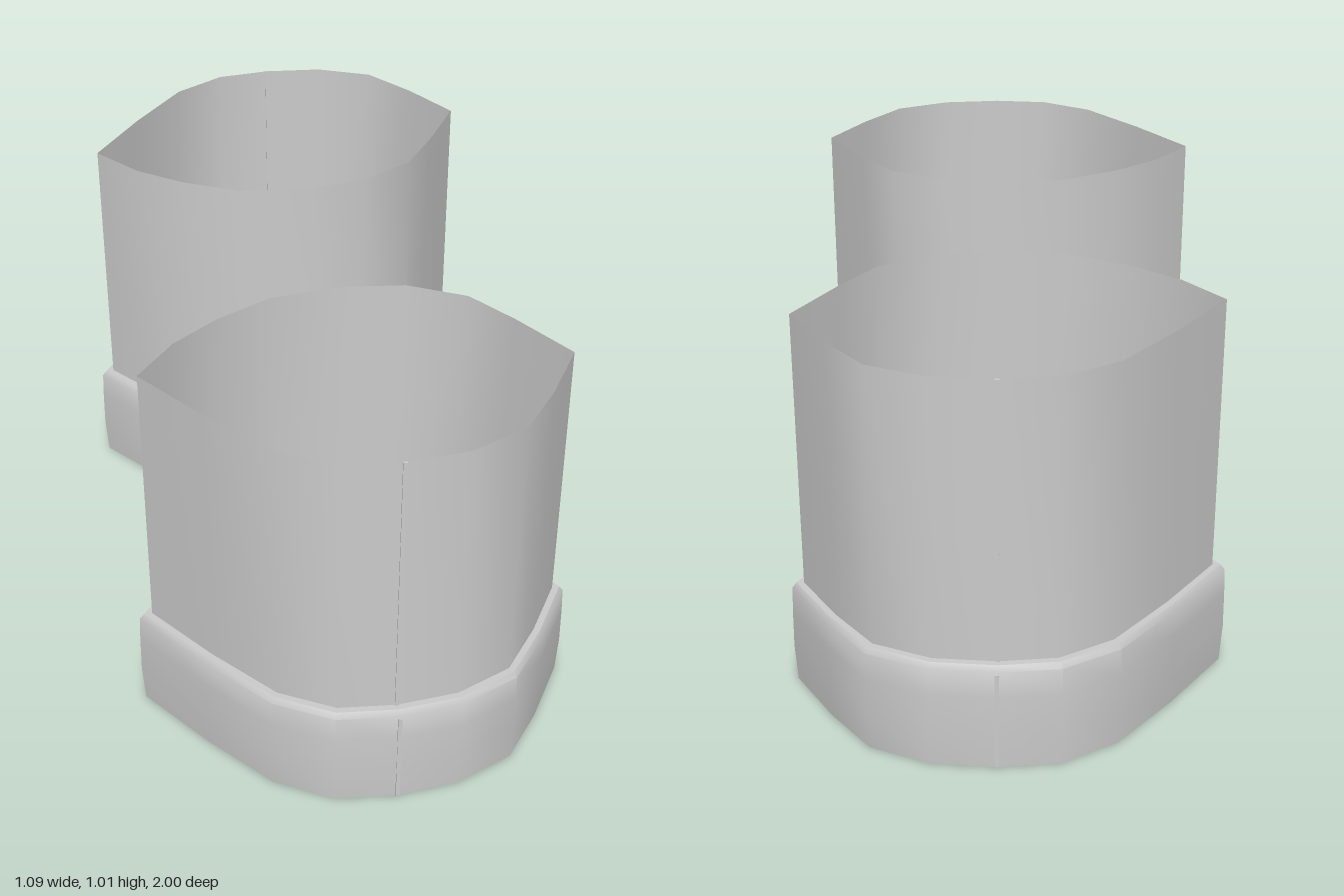
import * as THREE from 'three';
import { toCreasedNormals } from 'three/addons/utils/BufferGeometryUtils.js';

// Outer plan of one cuff as [x, z], pointed at both ends
const PLAN = [
  [-0.54, 0.545], [-0.43, 0.41], [-0.31, 0.32], [-0.16, 0.245], [0.03, 0.225],
  [0.19, 0.245], [0.34, 0.325], [0.43, 0.45], [0.538, 0.625], [0.44, 0.785],
  [0.34, 0.915], [0.19, 0.98], [0.03, 0.995], [-0.12, 0.98], [-0.26, 0.90], [-0.40, 0.735],
];

// Move every edge of a plan outwards by d, with mitred corners
function offsetPlan(plan, d) {
  const n = plan.length;
  const normal = (a, b) => new THREE.Vector2(b[1] - a[1], a[0] - b[0]).normalize();
  return plan.map((p, i) => {
    const n1 = normal(plan[(i + n - 1) % n], p);
    const n2 = normal(p, plan[(i + 1) % n]);
    const k = d / (1 + n1.dot(n2));
    return [p[0] + (n1.x + n2.x) * k, p[1] + (n1.y + n2.y) * k];
  });
}

// Skin a profile of [offset, y] steps around the plan
function loft(plan, profile) {
  const n = plan.length;
  const pos = [];
  const index = [];
  for (const [d, y] of profile) {
    for (const [x, z] of offsetPlan(plan, d)) pos.push(x, y, z);
  }
  for (let r = 0; r < profile.length - 1; r++) {
    for (let i = 0; i < n; i++) {
      const a = r * n + i, b = r * n + (i + 1) % n;
      index.push(a, a + n, b + n, a, b + n, b);
    }
  }
  const g = new THREE.BufferGeometry();
  g.setAttribute('position', new THREE.Float32BufferAttribute(pos, 3));
  g.setIndex(index);
  return toCreasedNormals(g, 0.6);
}

export function createModel() {
  const group = new THREE.Group();
  const solid = new THREE.MeshStandardMaterial({ color: 0xcccccc });
  const thin = new THREE.MeshStandardMaterial({ color: 0xcccccc, side: THREE.DoubleSide });

  for (const side of [1, -1]) {
    const plan = side > 0 ? PLAN : PLAN.map(([x, z]) => [x, -z]).reverse();
    const pair = new THREE.Group();
    pair.name = side > 0 ? 'frontSleeve' : 'backSleeve';

    // Thin open tube
    const tube = new THREE.Mesh(loft(plan, [[-0.025, 0.08], [-0.025, 1.01]]), thin);
    tube.name = 'tube';

    // Thick band with a bevelled top edge, open through the middle
    const cuff = new THREE.Mesh(loft(plan, [
      [-0.002, 0], [0.003, 0.1], [0.002, 0.2], [0, 0.27], [-0.009, 0.285],
      [-0.026, 0.285], [-0.026, 0], [-0.002, 0],
    ]), solid);
    cuff.name = 'cuff';

    // Narrow vertical seams on the outward side
    const seam = new THREE.Mesh(new THREE.BoxGeometry(0.01, 0.725, 0.006), solid);
    seam.name = 'tubeSeam';
    seam.position.set(0.03, 0.6475, side * 0.97);
    const cuffSeam = new THREE.Mesh(new THREE.BoxGeometry(0.01, 0.26, 0.006), solid);
    cuffSeam.name = 'cuffSeam';
    cuffSeam.position.set(0.033, 0.135, side * 0.997);

    pair.add(tube, cuff, seam, cuffSeam);
    group.add(pair);
  }
  return group;
}
